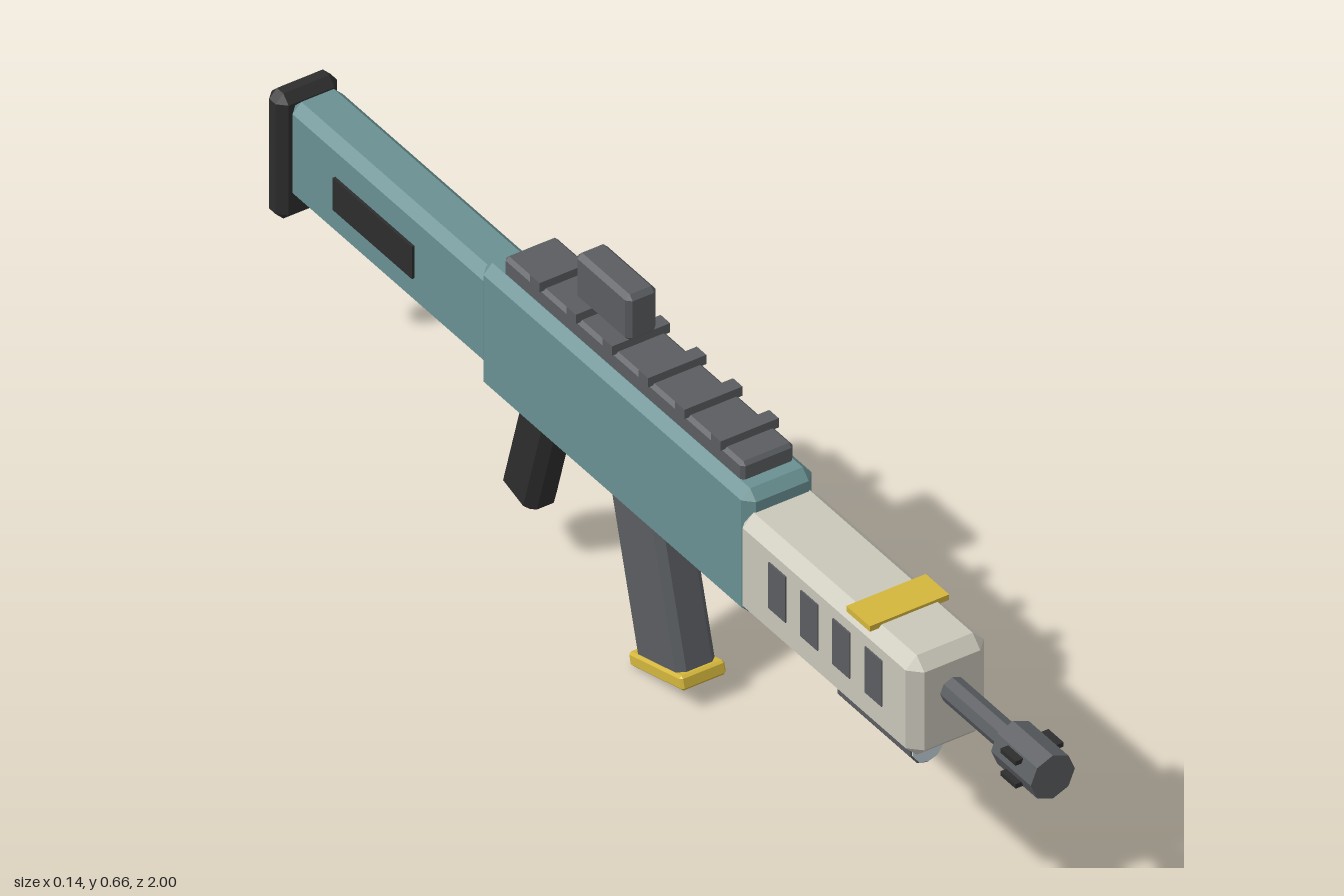
import * as THREE from 'three';
import { ConvexGeometry } from 'three/addons/geometries/ConvexGeometry.js';

const paint = (color) => new THREE.MeshStandardMaterial({ color, flatShading: true });

// Box with all edges chamfered by c
function chamferBox(w, h, d, c) {
  const points = [];
  for (const sx of [-1, 1]) for (const sy of [-1, 1]) for (const sz of [-1, 1]) {
    const x = w / 2, y = h / 2, z = d / 2;
    points.push(
      new THREE.Vector3(sx * x, sy * (y - c), sz * (z - c)),
      new THREE.Vector3(sx * (x - c), sy * y, sz * (z - c)),
      new THREE.Vector3(sx * (x - c), sy * (y - c), sz * z));
  }
  return new ConvexGeometry(points);
}

export function createModel() {
  const model = new THREE.Group();
  model.name = 'toyBlaster';
  const teal = paint(0x6a9193), cream = paint(0xc9c6b9), steel = paint(0x5a5d61);
  const black = paint(0x2d2d2e), gold = paint(0xd4b63c), glass = paint(0xc6d6dc);

  function add(name, geometry, material, x, y, z, parent = model) {
    const mesh = new THREE.Mesh(geometry, material);
    mesh.name = name;
    mesh.position.set(x, y, z);
    parent.add(mesh);
    return mesh;
  }
  // Block given by full width and its y and z ranges; c = 0 leaves it plain
  function block(name, material, w, [y0, y1], [z0, z1], c = 0, x = 0) {
    const h = y1 - y0, d = z1 - z0;
    const geometry = c ? chamferBox(w, h, d, c) : new THREE.BoxGeometry(w, h, d);
    return add(name, geometry, material, x, (y0 + y1) / 2, (z0 + z1) / 2);
  }
  // Faceted rod lying along z
  function rod(name, material, r, sides, y, [z0, z1]) {
    const geometry = new THREE.CylinderGeometry(r, r, z1 - z0, sides).rotateX(Math.PI / 2);
    return add(name, geometry, material, 0, y, (z0 + z1) / 2);
  }

  // Body
  block('receiver', teal, 0.126, [0.302, 0.53], [-0.425, 0.287], 0.016);
  block('sidePanel', cream, 0.008, [0.38, 0.452], [-0.17, 0], 0, 0.062);
  block('handguard', cream, 0.14, [0.312, 0.495], [0.265, 0.735], 0.02);
  block('handguardBand', gold, 0.142, [0.49, 0.5], [0.56, 0.622]);
  for (const side of [-1, 1])
    for (let i = 0; i < 4; i++) {
      const z = 0.632 - i * 0.0845;
      block('handguardSlot', steel, 0.008, [0.372, 0.456], [z - 0.0225, z + 0.0225], 0, side * 0.0685);
    }

  // Barrel and muzzle
  rod('barrel', steel, 0.022, 8, 0.424, [0.7, 0.92]);
  rod('muzzle', steel, 0.0395, 8, 0.424, [0.895, 1]);
  for (const y of [0.403, 0.445])
    block('muzzleVent', black, 0.086, [y - 0.004, y + 0.004], [0.925, 0.965]);

  // Lamp under the handguard
  rod('lamp', steel, 0.031, 10, 0.28, [0.475, 0.668]);
  rod('lampLens', glass, 0.028, 10, 0.28, [0.66, 0.671]);

  // Stock and butt pad
  block('stock', teal, 0.09, [0.318, 0.495], [-0.955, -0.42], 0.016);
  block('stockPanel', black, 0.1, [0.374, 0.433], [-0.826, -0.617]);
  block('buttPad', black, 0.11, [0.267, 0.497], [-1, -0.955], 0.014);

  // Top rail, slats and sight
  block('rail', steel, 0.094, [0.525, 0.561], [-0.38, 0.25], 0.006);
  for (let i = 0; i < 6; i++) {
    const z = 0.188 - i * 0.0955;
    block('railSlat', steel, 0.104, [0.558, 0.575], [z - 0.0125, z + 0.0125]);
  }
  block('sight', steel, 0.054, [0.572, 0.656], [-0.222, -0.08], 0.008);

  // Magazine, leaning forward at the bottom
  const magazine = new THREE.Group();
  magazine.name = 'magazine';
  magazine.position.set(0, 0.03, 0.01);
  magazine.rotation.x = -THREE.MathUtils.degToRad(15);
  model.add(magazine);
  add('magazineBody', chamferBox(0.07, 0.34, 0.126, 0.012), steel, 0, 0.17, 0, magazine);
  add('magazineBase', chamferBox(0.08, 0.024, 0.145, 0.004), gold, 0, 0, 0, magazine);

  // Grip, leaning back at the bottom, and trigger guard
  const grip = add('grip', chamferBox(0.06, 0.25, 0.085, 0.015), black, 0, 0.223, -0.349);
  grip.rotation.x = THREE.MathUtils.degToRad(16);
  block('triggerGuard', steel, 0.03, [0.278, 0.288], [-0.305, -0.195]);

  return model;
}
